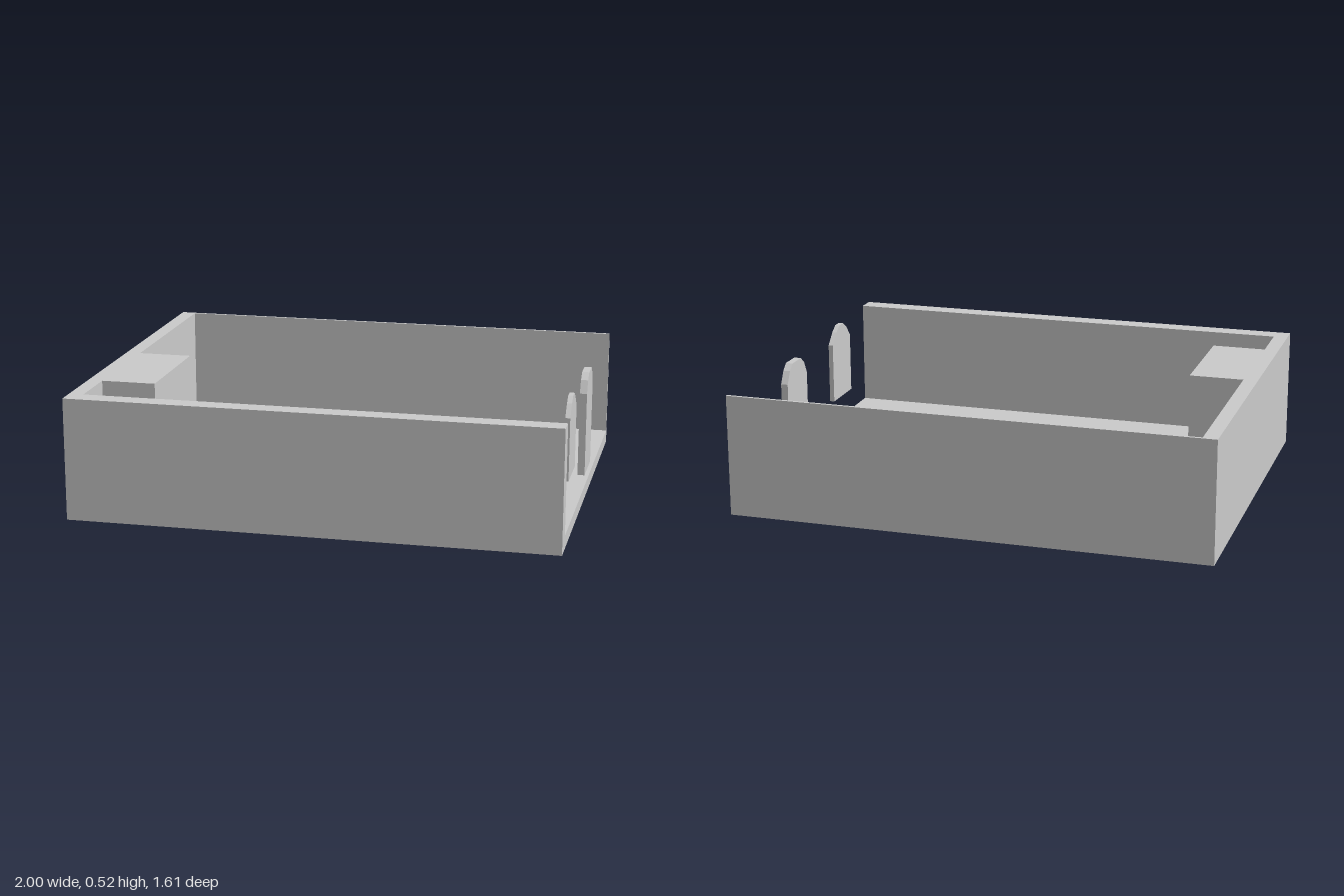
import * as THREE from 'three';

const material = new THREE.MeshStandardMaterial({ color: 0xcccccc, flatShading: true });

// Extrudes an outline of [a, b] corners without a bevel
function extrude(points, depth) {
  const shape = new THREE.Shape(points.map(([a, b]) => new THREE.Vector2(a, b)));
  return new THREE.ExtrudeGeometry(shape, { depth, bevelEnabled: false });
}

function addMesh(group, name, geometry) {
  const mesh = new THREE.Mesh(geometry, material);
  mesh.name = name;
  group.add(mesh);
  return mesh;
}

// Upright arched slab: outline in [z, y], between x0 and x1
function addArchedPanel(group, name, outline, x0, x1) {
  const mesh = addMesh(group, name, extrude(outline, x1 - x0).rotateY(-Math.PI / 2));
  mesh.position.x = x1;
}

export function createModel() {
  const group = new THREE.Group();
  group.name = 'openRoom';
  const floorTop = 0.055, height = 0.505, halfZ = 0.805;

  // Floor slab
  const floor = addMesh(group, 'floor', new THREE.BoxGeometry(2, floorTop, halfZ * 2));
  floor.position.y = floorTop / 2;

  // Three walls in one piece, with the chimney breast projecting into the room ([x, z] plan)
  const plan = [
    [-1, halfZ], [1, halfZ], [1, 0.727], [-0.94, 0.727],
    [-0.94, 0.503], [-0.715, 0.503], [-0.715, 0.014], [-0.94, 0.014],
    [-0.94, -0.793], [1, -0.793], [1, -halfZ], [-1, -halfZ],
  ];
  const walls = extrude(plan.map(([x, z]) => [x, -z]), height - floorTop).rotateX(-Math.PI / 2);
  addMesh(group, 'walls', walls).position.y = floorTop;

  // Window and door panels along the open side
  addArchedPanel(group, 'windowPanel', [
    [0.23, 0.185], [0.44, 0.185], [0.44, 0.445], [0.395, 0.493],
    [0.358, 0.517], [0.315, 0.517], [0.278, 0.493], [0.23, 0.445],
  ], 0.955, 0.975);
  addArchedPanel(group, 'doorPanel', [
    [-0.292, floorTop], [-0.08, floorTop], [-0.08, 0.41], [-0.108, 0.462],
    [-0.143, 0.488], [-0.233, 0.488], [-0.263, 0.462], [-0.292, 0.41],
  ], 0.953, 0.983);

  return group;
}
